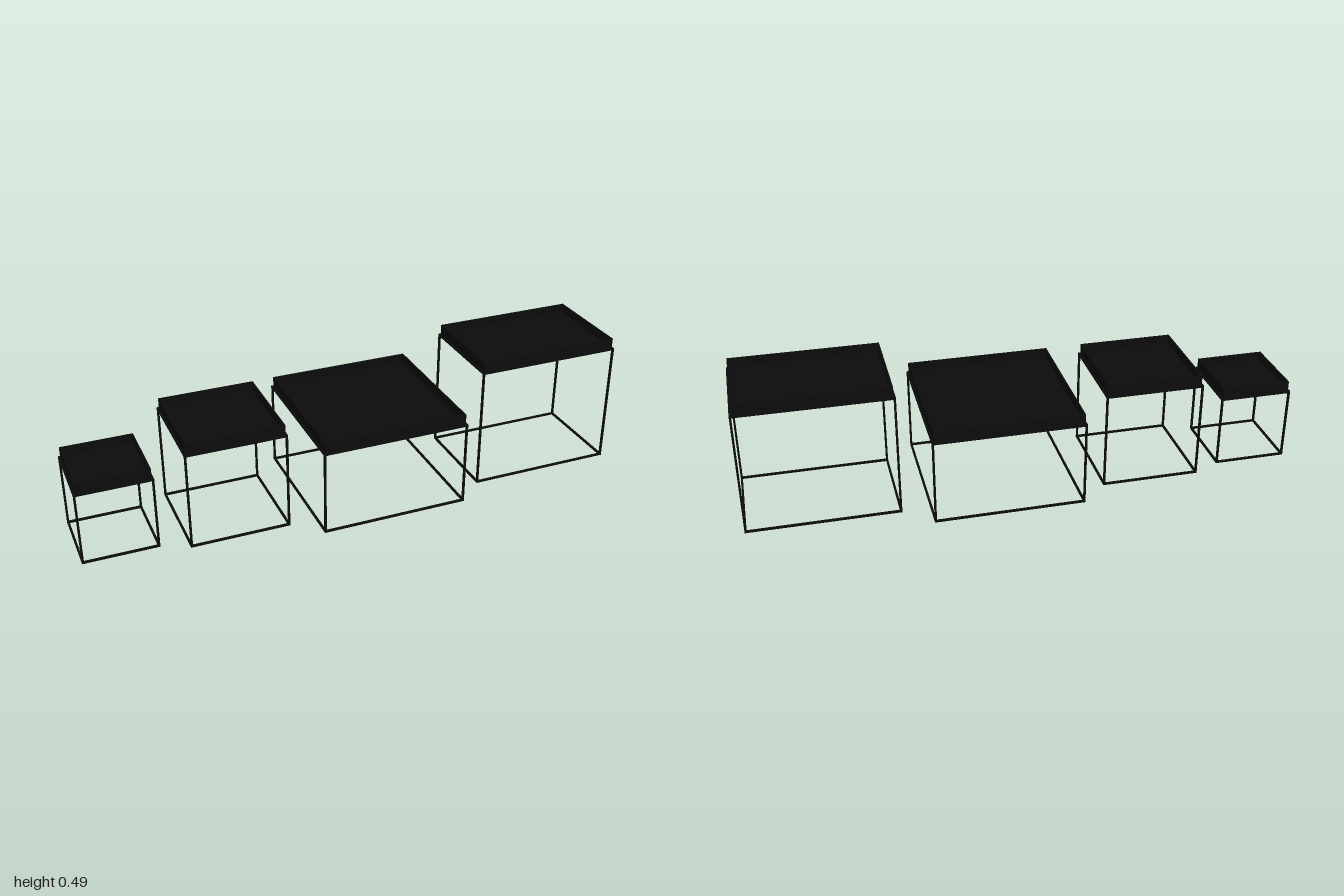
import * as THREE from 'three';

const BAR = 0.0072; // square bar thickness of the wire frames
const INSET = 0.0065; // tray edge set in from the frame's outer edge
const TRAY_H = 0.038;
const WALL = 0.006;

const black = new THREE.MeshStandardMaterial({ color: 0x0c0c0c });

function box(name, w, h, d, x, y, z) {
  const mesh = new THREE.Mesh(new THREE.BoxGeometry(w, h, d), black);
  mesh.name = name;
  mesh.position.set(x, y, z);
  return mesh;
}

// Open cube of thin bars
function createFrame(w, h, d) {
  const frame = new THREE.Group();
  frame.name = 'frame';
  const x = (w - BAR) / 2;
  const z = (d - BAR) / 2;
  for (const s of [-1, 1]) {
    for (const t of [-1, 1]) frame.add(box('leg', BAR, h, BAR, s * x, h / 2, t * z));
    for (const y of [BAR / 2, h - BAR / 2]) {
      frame.add(box('longRail', w - 2 * BAR, BAR, BAR, 0, y, s * z));
      frame.add(box('sideRail', BAR, BAR, d - 2 * BAR, s * x, y, 0));
    }
  }
  return frame;
}

// Shallow tray: floor with four upright walls
function createTray(w, d) {
  const tray = new THREE.Group();
  tray.name = 'tray';
  tray.add(box('trayFloor', w - 2 * WALL, WALL, d - 2 * WALL, 0, WALL / 2, 0));
  for (const s of [-1, 1]) {
    tray.add(box('trayLongWall', w, TRAY_H, WALL, 0, TRAY_H / 2, s * (d - WALL) / 2));
    tray.add(box('traySideWall', WALL, TRAY_H, d - 2 * WALL, s * (w - WALL) / 2, TRAY_H / 2, 0));
  }
  return tray;
}

export function createModel() {
  const model = new THREE.Group();
  model.name = 'trayTables';
  // Each table: name, centre x, width, frame height, depth
  const tables = [
    ['smallTable', -0.866, 0.268, 0.272, 0.268],
    ['squareTable', -0.457, 0.36, 0.364, 0.36],
    ['largeTable', 0.088, 0.541, 0.317, 0.541],
    ['tallTable', 0.729, 0.542, 0.456, 0.36],
  ];
  for (const [name, x, w, h, d] of tables) {
    const table = new THREE.Group();
    table.name = name;
    table.position.x = x;
    const tray = createTray(w - 2 * INSET, d - 2 * INSET);
    tray.position.y = h - 0.0005;
    table.add(createFrame(w, h, d), tray);
    model.add(table);
  }
  return model;
}
